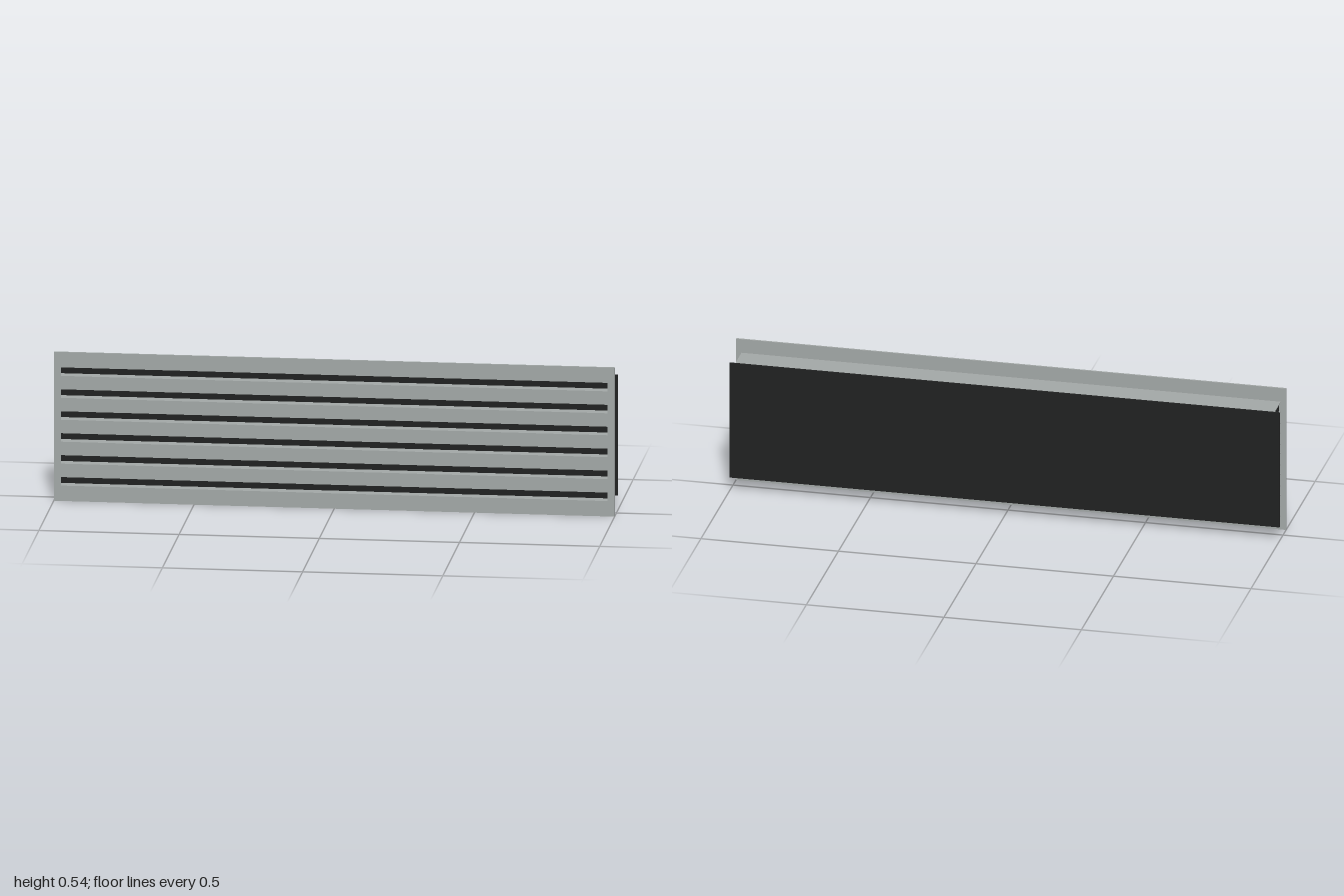
import * as THREE from 'three';

const SLOTS = 6, PITCH = 0.08, HEIGHT = 0.543, FIRST = HEIGHT / 2 - PITCH * 2.5;

export function createModel() {
  const group = new THREE.Group();
  group.name = 'slotDiffuser';
  const grey = new THREE.MeshStandardMaterial({ color: 0xa2a7a6 });
  grey.name = 'greyMetal';
  const black = new THREE.MeshStandardMaterial({ color: 0x202121 });
  black.name = 'blackMetal';

  const box = (name, material, w, h, d, y, z) => {
    const mesh = new THREE.Mesh(new THREE.BoxGeometry(w, h, d), material);
    mesh.name = name;
    mesh.position.set(0, y, z);
    group.add(mesh);
  };
  // Rectangle outline centred on x = 0
  const rect = (path, halfW, y0, y1) => {
    path.moveTo(-halfW, y0);
    path.lineTo(halfW, y0);
    path.lineTo(halfW, y1);
    path.lineTo(-halfW, y1);
    path.closePath();
    return path;
  };

  // Face plate with a row of long slots
  const face = rect(new THREE.Shape(), 1, 0, HEIGHT);
  for (let i = 0; i < SLOTS; i++) {
    const y = FIRST + i * PITCH;
    face.holes.push(rect(new THREE.Path(), 0.975, y - 0.0155, y + 0.0155));
  }
  const facePlate = new THREE.Mesh(
    new THREE.ExtrudeGeometry(face, { depth: 0.007, bevelEnabled: false }), grey);
  facePlate.name = 'facePlate';
  facePlate.position.z = 0.0475;
  group.add(facePlate);

  // Back plate
  box('backPlate', black, 2, 0.44, 0.007, HEIGHT / 2, -0.051);

  for (let i = 0; i < SLOTS; i++) {
    const y = FIRST + i * PITCH;
    // Walls above and below each slot, with a dark blade between them
    for (const side of [-1, 1])
      box('slotWall', grey, 1.96, 0.0035, 0.095, y + side * 0.018, 0);
    box('blade', black, 1.955, 0.022, 0.007, y, 0.029);
    // Web joining neighbouring walls behind the face plate
    if (i < SLOTS - 1)
      box('channelWeb', grey, 1.96, 0.0405, 0.004, y + PITCH / 2, 0.0452);
  }
  return group;
}
